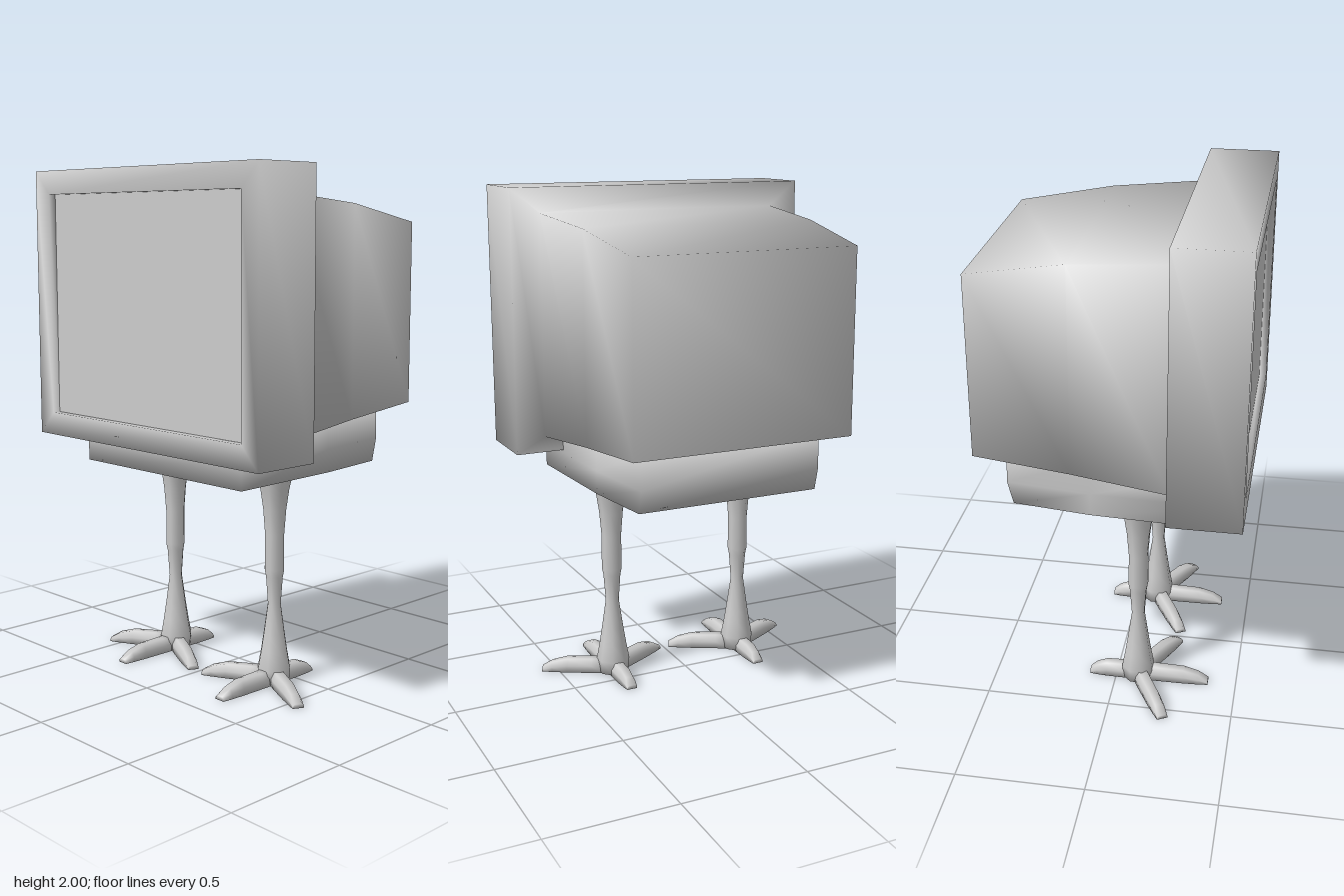
import * as THREE from 'three';

const grey = new THREE.MeshStandardMaterial({ color: 0xcccccc });

function mesh(name, geometry) {
  const m = new THREE.Mesh(geometry, grey);
  m.name = name;
  return m;
}

// Smooth skin over equal-sized rings; each ring runs counter-clockwise seen from the first end.
function loft(rings, capStart = true) {
  const n = rings[0].length;
  const index = [];
  for (let i = 0; i < rings.length - 1; i++) {
    for (let j = 0; j < n; j++) {
      const a = i * n + j, b = i * n + (j + 1) % n;
      index.push(a, a + n, b, b, a + n, b + n);
    }
  }
  const last = (rings.length - 1) * n;
  for (let j = 1; j < n - 1; j++) {
    if (capStart) index.push(0, j, j + 1);
    index.push(last, last + j + 1, last + j);
  }
  const g = new THREE.BufferGeometry();
  g.setAttribute('position', new THREE.Float32BufferAttribute(rings.flat(2), 3));
  g.setIndex(index);
  g.computeVertexNormals();
  return g;
}

// Upright rectangle at depth z
const frame = ([x, y0, y1, z]) => [[-x, y0, z], [x, y0, z], [x, y1, z], [-x, y1, z]];
// Level outline at height y, narrowing towards its back edge
const slab = ([y, back]) => [[-0.447, y, 0.42], [0.447, y, 0.42], [0.42, y, -0.08],
  [0.378, y, back], [-0.378, y, back], [-0.42, y, -0.08]];
// Toe cross-section: flat sole, rounded top
const toeRing = ([w, y, h, z]) => [[-w, y, z], [w, y, z], [w, y + h * 0.5, z],
  [w * 0.6, y + h, z], [-w * 0.6, y + h, z], [-w, y + h * 0.5, z]];

function createToe(length) {
  return loft([
    [0.022, 0, 0.016, length],
    [0.026, 0, 0.04, length * 0.86],
    [0.029, 0, 0.056, length * 0.65],
    [0.03, 0, 0.058, length * 0.3],
    [0.03, 0, 0.06, 0.03],
  ].map(toeRing));
}

function createLeg() {
  const leg = new THREE.Group();
  // Thin eight-sided shank with a knobbly joint, flaring at hip and ankle
  const profile = [[0, 0.005], [0.063, 0.005], [0.068, 0.06], [0.055, 0.13], [0.044, 0.2], [0.027, 0.32],
    [0.035, 0.43], [0.041, 0.46], [0.04, 0.6], [0.048, 0.7], [0.06, 0.78], [0.074, 0.84], [0.074, 0.87]];
  leg.add(mesh('shank', new THREE.LatheGeometry(profile.map(p => new THREE.Vector2(...p)), 8, Math.PI / 8)));
  // Front, two side and back toes
  const side = Math.atan2(0.265, 0.14);
  for (const [name, angle, length] of [['frontToe', 0, 0.295], ['leftToe', side, 0.298],
    ['rightToe', -side, 0.298], ['backToe', Math.PI, 0.2]]) {
    const toe = mesh(name, createToe(length));
    toe.rotation.y = angle;
    leg.add(toe);
  }
  return leg;
}

export function createModel() {
  const model = new THREE.Group();
  model.name = 'walkingMonitor';

  // Casing: screen recess, bezel, step behind it, then the tapering tube housing
  model.add(mesh('casing', loft([
    [0.548, 1.033, 1.907, 0.49],
    [0.548, 1.033, 1.907, 0.52],
    [0.634, 0.942, 2.0, 0.52],
    [0.634, 0.942, 2.0, 0.24],
    [0.512, 1.005, 1.9, 0.24],
    [0.483, 1.045, 1.868, -0.14],
    [0.455, 1.075, 1.8, -0.522],
  ].map(frame), false)));

  // Flat screen at the bottom of the recess
  const screen = mesh('screen', new THREE.PlaneGeometry(1.096, 0.874));
  screen.position.set(0, 1.47, 0.49);
  model.add(screen);

  // Stand under the casing
  model.add(mesh('stand', loft([[1.07, -0.41], [0.93, -0.413], [0.838, -0.39]].map(slab))));

  // Bird legs
  for (const [name, s] of [['leftLeg', 1], ['rightLeg', -1]]) {
    const leg = createLeg();
    leg.name = name;
    leg.position.set(0.293 * s, 0, 0.09);
    model.add(leg);
  }
  return model;
}
